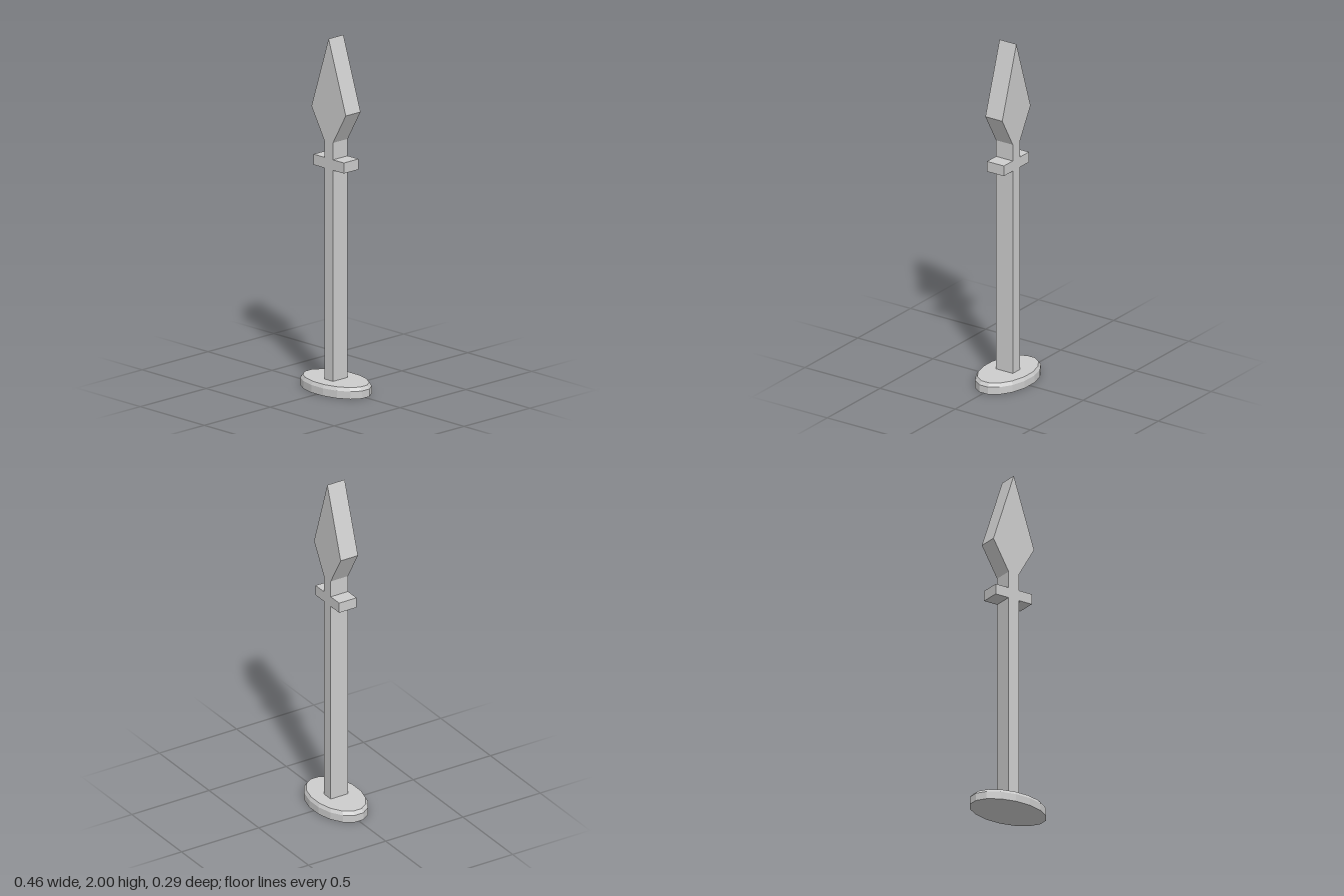
import * as THREE from 'three';

export function createModel() {
  const group = new THREE.Group();
  const grey = new THREE.MeshStandardMaterial({ color: 0xcccccc, flatShading: true });
  grey.name = 'grey';

  // Spear: one mirrored outline holding shaft, crossguard and blade
  const depth = 0.112;
  const half = [
    [0.034, 0.05], [0.034, 1.26], [0.119, 1.26], [0.119, 1.32],
    [0.034, 1.32], [0.034, 1.416], [0.134, 1.59],
  ];
  const outline = [
    ...half,
    [0, 2],
    ...half.map(([x, y]) => [-x, y]).reverse(),
  ].map(([x, y]) => new THREE.Vector2(x, y));
  const spearGeometry = new THREE.ExtrudeGeometry(new THREE.Shape(outline), {
    depth, bevelEnabled: false,
  });
  spearGeometry.translate(0, 0, -depth / 2);
  const spear = new THREE.Mesh(spearGeometry, grey);
  spear.name = 'spear';
  group.add(spear);

  // Base: sixteen-sided oval disc with a chamfered top edge
  const base = new THREE.Group();
  base.name = 'base';
  const sides = 16;
  const addRing = (name, top, bottom, y0, y1, open) => {
    const geometry = new THREE.CylinderGeometry(top, bottom, y1 - y0, sides, 1, open, Math.PI / sides);
    geometry.translate(0, (y0 + y1) / 2, 0);
    geometry.scale(0.2355, 1, 0.146);
    const mesh = new THREE.Mesh(geometry, grey);
    mesh.name = name;
    base.add(mesh);
  };
  addRing('baseRim', 1, 1, 0, 0.043, false);
  addRing('baseChamfer', 0.93, 1, 0.043, 0.062, false);
  group.add(base);

  return group;
}
